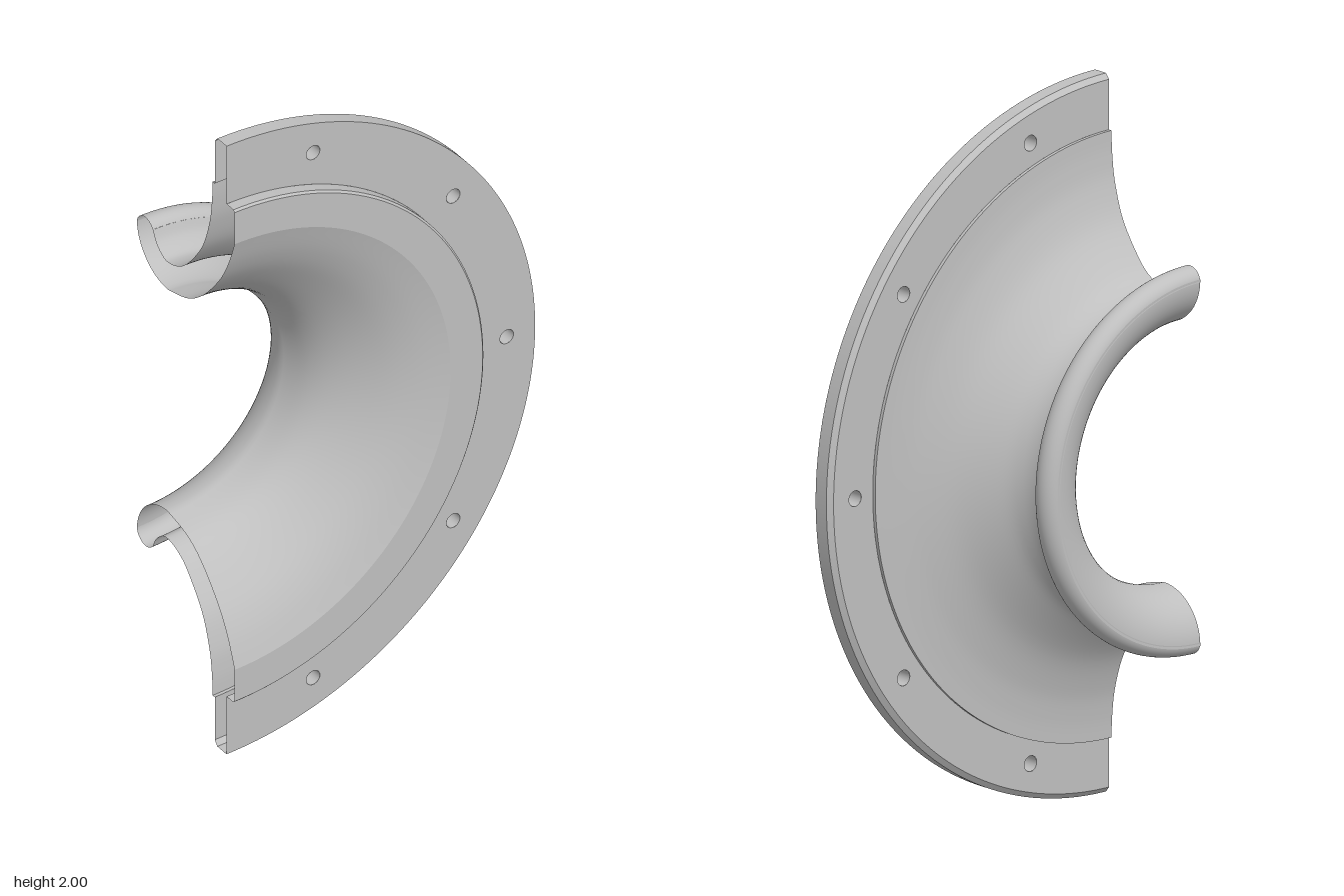
import * as THREE from 'three';

const SEGMENTS = 96;

export function createModel() {
  const root = new THREE.Group();
  root.name = 'halfBellFlange';

  // The half ring turns about an axis along z through x = -0.5, y = 1.
  const ring = new THREE.Group();
  ring.name = 'halfRing';
  ring.position.set(-0.5, 1, 0);
  root.add(ring);

  const metal = new THREE.MeshStandardMaterial({ color: 0xbfbfbf, side: THREE.DoubleSide });
  metal.name = 'plainGrey';

  const add = (name, geometry) => {
    const mesh = new THREE.Mesh(geometry, metal);
    mesh.name = name;
    ring.add(mesh);
    return mesh;
  };

  // Revolve [radius, z] points through half a turn towards +x.
  const revolve = (name, points) => {
    const profile = points.map(([r, z]) => new THREE.Vector2(r, z));
    add(name, new THREE.LatheGeometry(profile, SEGMENTS, 0, Math.PI).rotateX(Math.PI / 2));
  };
  // Straight bands with a sharp edge between each.
  const bands = (name, points) => {
    for (let i = 0; i < points.length - 1; i++) revolve(name, [points[i], points[i + 1]]);
  };
  const smooth = (points, count) =>
    new THREE.SplineCurve(points.map(([r, z]) => new THREE.Vector2(r, z)))
      .getPoints(count).map((p) => [p.x, p.y]);
  const arc = (r, z, radius, from, to, count) =>
    Array.from({ length: count + 1 }, (_, i) => {
      const a = THREE.MathUtils.degToRad(from + (to - from) * i / count);
      return [r + radius * Math.cos(a), z + radius * Math.sin(a)];
    });

  // Raised rim in front of the flange
  bands('raisedRim', [[0.81, 0.19], [0.81, 0.222], [0.804, 0.228], [0.70, 0.228]]);

  // Inner throat, from the front rim round to the back mouth
  revolve('throat', [
    ...smooth([[0.70, 0.228], [0.61, 0.195], [0.53, 0.15], [0.44, 0.075],
      [0.39, 0.005], [0.365, -0.085]], 28),
    ...arc(0.51, -0.085, 0.145, 180, 270, 16).slice(1),
  ]);

  // Rolled lip at the back
  revolve('rolledLip', [[0.501, -0.23], ...arc(0.5, -0.19, 0.04, -80, 60, 16)]);

  // Groove and flare on the outside
  revolve('outerFlare', smooth([[0.52, -0.155], [0.488, -0.14], [0.463, -0.113],
    [0.455, -0.085], [0.468, -0.04], [0.505, 0.007], [0.6, 0.075], [0.7, 0.11],
    [0.78, 0.122], [0.845, 0.125]], 48));
  bands('flareStep', [[0.845, 0.125], [0.845, 0.135]]);

  // Flange edge with a chamfer at the back
  bands('flangeEdge', [[0.985, 0.135], [1, 0.147], [1, 0.19]]);

  // Flange faces with five bolt holes
  const holes = [-72, -36, 0, 36, 72].map((deg) => {
    const a = THREE.MathUtils.degToRad(deg);
    return [0.908 * Math.cos(a), 0.908 * Math.sin(a)];
  });
  const holeRadius = 0.022;
  const flangeFace = (inner, outer) => {
    const shape = new THREE.Shape();
    shape.absarc(0, 0, outer, -Math.PI / 2, Math.PI / 2, false);
    shape.absarc(0, 0, inner, Math.PI / 2, -Math.PI / 2, true);
    for (const [x, y] of holes) {
      const hole = new THREE.Path();
      hole.absarc(x, y, holeRadius, 0, Math.PI * 2, true);
      shape.holes.push(hole);
    }
    return new THREE.ShapeGeometry(shape, SEGMENTS);
  };
  add('flangeFront', flangeFace(0.81, 1).translate(0, 0, 0.19));
  add('flangeBack', flangeFace(0.845, 0.985).rotateX(Math.PI).translate(0, 0, 0.135));

  // Bolt hole walls
  for (const [x, y] of holes) {
    const wall = new THREE.CylinderGeometry(holeRadius, holeRadius, 0.055, 24, 1, true);
    add('boltHole', wall.rotateX(Math.PI / 2)).position.set(x, y, 0.1625);
  }

  return root;
}
